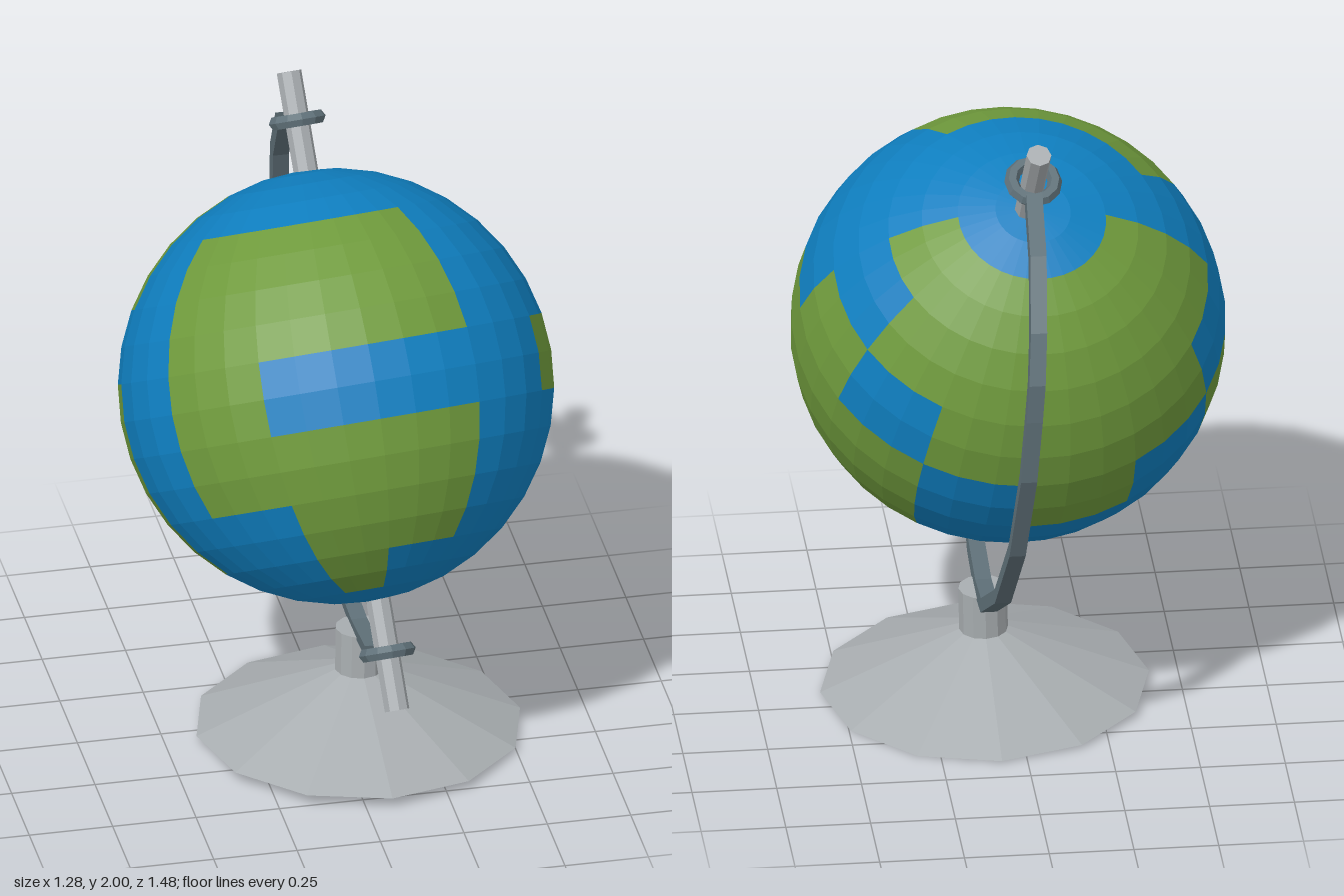
import * as THREE from 'three';
import { mergeGeometries } from 'three/addons/utils/BufferGeometryUtils.js';

const flat = (color) => new THREE.MeshStandardMaterial({ color, flatShading: true });

// One row of cells per 20 degrees from the north pole, 12 columns from the front meridian; 1 = land
const MAP = [
  '000000000000',
  '000111111000',
  '100011111011',
  '100101110011',
  '001110101010',
  '100110001011',
  '100010101001',
  '000010000001',
  '000000000000',
];

function cells(kind, radius) {
  const parts = [];
  const dPhi = Math.PI / 6, dTheta = Math.PI / MAP.length;
  MAP.forEach((row, i) => [...row].forEach((c, k) => {
    if (c !== kind) return;
    parts.push(new THREE.SphereGeometry(radius, 1, 1,
      Math.PI / 2 + k * dPhi, dPhi, i * dTheta, dTheta));
  }));
  return mergeGeometries(parts);
}

// Flat band following a centre line of [z, y] points
function bandGeometry(line, thickness, width) {
  const pts = line.map(([z, y]) => new THREE.Vector2(-z, y));
  const side = (s) => pts.map((p, i) => {
    const t = pts[Math.min(i + 1, pts.length - 1)].clone().sub(pts[Math.max(i - 1, 0)]).normalize();
    return new THREE.Vector2(p.x - t.y * s, p.y + t.x * s);
  });
  const shape = new THREE.Shape([...side(thickness / 2), ...side(-thickness / 2).reverse()]);
  const geo = new THREE.ExtrudeGeometry(shape, { depth: width, bevelEnabled: false });
  return geo.translate(0, 0, -width / 2).rotateY(Math.PI / 2);
}

export function createModel() {
  const model = new THREE.Group();
  const metal = flat(0xa8adb0), steel = flat(0x5f7078);
  const add = (name, geometry, material, parent = model) => {
    const mesh = new THREE.Mesh(geometry, material);
    mesh.name = name;
    parent.add(mesh);
    return mesh;
  };

  // Tilted frame: local y is the globe's axis, local z its front meridian
  const axis = new THREE.Vector3(-0.0625, 0.857, -0.51).normalize();
  const front = new THREE.Vector3(0, -axis.z, axis.y).normalize();
  const right = axis.clone().cross(front);
  const tilt = new THREE.Quaternion().setFromRotationMatrix(
    new THREE.Matrix4().makeBasis(right, axis, front));

  // Globe
  const globe = new THREE.Group();
  globe.name = 'globe';
  globe.position.set(0.003, 1.178, 0.105);
  globe.quaternion.copy(tilt);
  add('sea', cells('0', 0.64), flat(0x0f7fc0), globe);
  add('land', cells('1', 0.64), flat(0x6f9a3c), globe);
  model.add(globe);

  // Axle with a ring near each end
  const axle = new THREE.Group();
  axle.name = 'axle';
  axle.position.set(0.022, 1.165, 0.115);
  axle.quaternion.copy(tilt);
  add('rod', new THREE.CylinderGeometry(0.037, 0.037, 1.9, 8), metal, axle);
  for (const [name, y] of [['upperRing', 0.806], ['lowerRing', -0.777]]) {
    const ring = add(name, new THREE.TorusGeometry(0.064, 0.022, 6, 12), steel, axle);
    ring.rotation.x = Math.PI / 2;
    ring.position.y = y;
  }
  model.add(axle);

  // Curved arm behind the globe, leaning sideways with the axle
  const arm = bandGeometry([
    [-0.35, 1.832], [-0.535, 1.724], [-0.668, 1.545], [-0.718, 1.405], [-0.718, 1.29], [-0.7, 1.088],
    [-0.583, 0.79], [-0.36, 0.525], [-0.085, 0.355], [0.07, 0.34], [0.28, 0.366], [0.455, 0.467],
  ], 0.042, 0.048);
  arm.applyMatrix4(new THREE.Matrix4().set(
    1, -0.07, 0, 0.105,
    0, 1, 0, 0,
    0, 0, 1, 0,
    0, 0, 0, 1));
  add('arm', arm, steel);

  // Conical foot and short post
  const profile = [[0, 0], [0.485, 0], [0.072, 0.182], [0.072, 0.318], [0, 0.318]]
    .map(([r, y]) => new THREE.Vector2(r, y));
  const base = add('base', new THREE.LatheGeometry(profile, 12), metal);
  base.position.set(0.075, 0.0175, 0.08);
  base.quaternion.setFromUnitVectors(new THREE.Vector3(0, 1, 0),
    new THREE.Vector3(0.02, 1, -0.03).normalize());

  return model;
}
